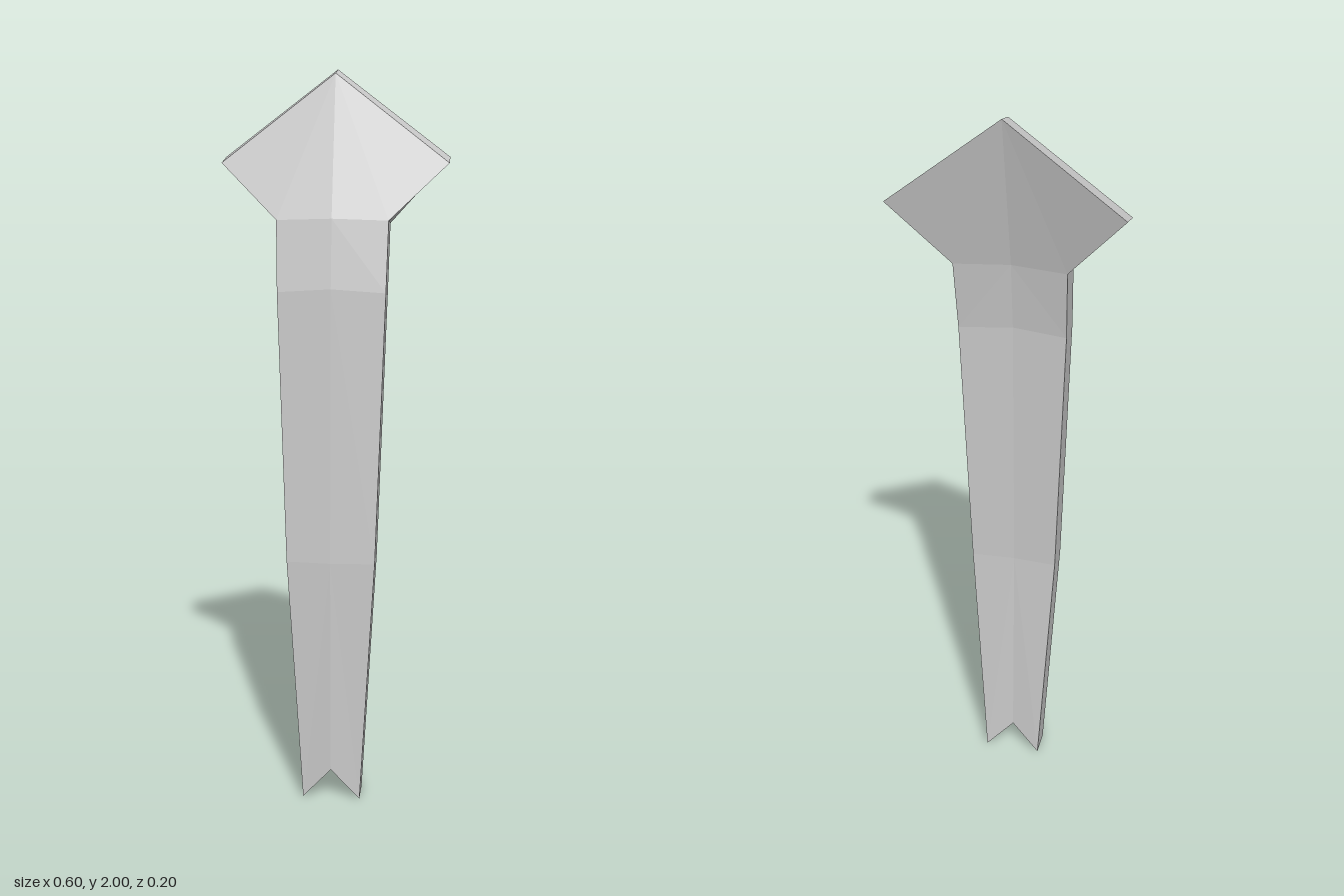
import * as THREE from 'three';

// Stations from foot to head. Each point is [x, frontY, frontZ, backY, backZ];
// "edge" lies on the outline, "mid" on the central ridge.
const stations = [
  { edge: [0.08, 0.0, 0.077, 0.0, 0.002], mid: [0, 0.09, 0.088, 0.09, 0.012] },
  { edge: [0.12, 0.7, 0.092, 0.7, 0.017], mid: [0, 0.7, 0.1, 0.7, 0.024] },
  { edge: [0.143, 1.43, 0.072, 1.42, -0.002], mid: [0, 1.44, 0.082, 1.43, 0.007] },
  { edge: [0.147, 1.615, 0.046, 1.605, -0.028], mid: [0, 1.62, 0.061, 1.61, -0.014] },
  { edge: [0.3, 1.76, -0.015, 1.775, -0.09], mid: [0, 1.988, -0.04, 2.0, -0.102] },
];

function bladeGeometry() {
  const positions = [];
  const front = (p, s) => [p[0] * s, p[1], p[2]];
  const back = (p, s) => [p[0] * s, p[3], p[4]];

  for (const s of [1, -1]) {
    // Mirrored halves swap their winding
    const tri = (a, b, c) => positions.push(...a, ...(s > 0 ? b : c), ...(s > 0 ? c : b));
    const quad = (a, b, c, d) => { tri(a, b, c); tri(a, c, d); };

    // Front and back faces
    for (let i = 0; i < stations.length - 1; i++) {
      const lo = stations[i], hi = stations[i + 1];
      quad(front(lo.edge, s), front(hi.edge, s), front(hi.mid, s), front(lo.mid, s));
      quad(back(lo.edge, s), back(lo.mid, s), back(hi.mid, s), back(hi.edge, s));
    }

    // Rim from the foot notch up to the tip
    const rim = [stations[0].mid, ...stations.map((st) => st.edge), stations.at(-1).mid];
    for (let i = 0; i < rim.length - 1; i++) {
      const a = rim[i], b = rim[i + 1];
      quad(front(a, s), back(a, s), back(b, s), front(b, s));
    }
  }

  const geometry = new THREE.BufferGeometry();
  geometry.setAttribute('position', new THREE.Float32BufferAttribute(positions, 3));
  geometry.computeVertexNormals();
  return geometry;
}

export function createModel() {
  const group = new THREE.Group();
  const material = new THREE.MeshStandardMaterial({ color: 0xcccccc, flatShading: true });
  const blade = new THREE.Mesh(bladeGeometry(), material);
  blade.name = 'curvedStrapWithPointedHead';
  group.add(blade);
  return group;
}
